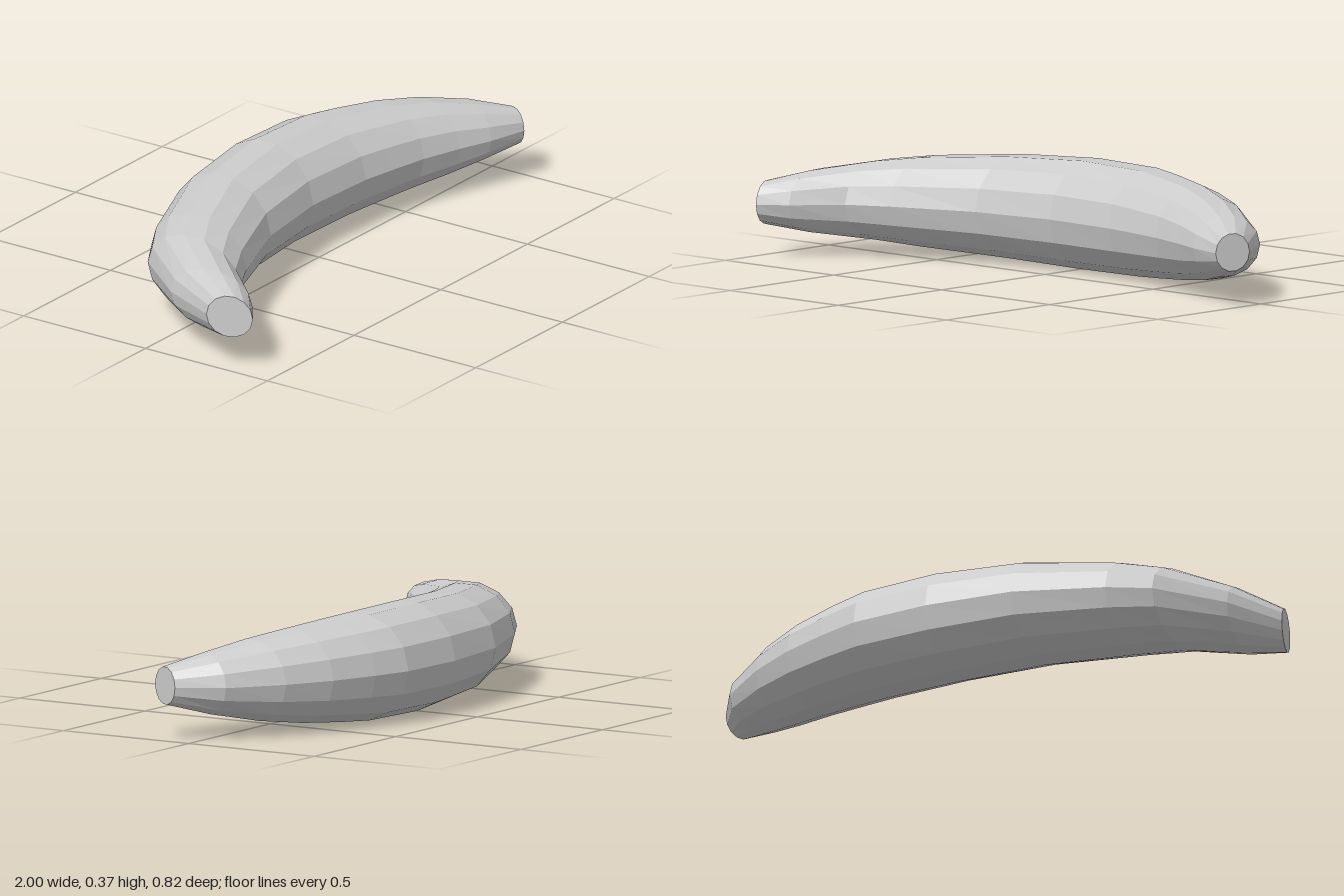
import * as THREE from 'three';

const SIDES = 14;
const MID_Y = 0.183;

// Cross-sections end to end: outer edge x, z, inner edge x, z, half height
const SECTIONS = [
  [-1.0, 0.25, -0.95, 0.405, 0.072],
  [-0.905, 0.035, -0.86, 0.34, 0.104],
  [-0.735, -0.18, -0.735, 0.2, 0.133],
  [-0.6, -0.26, -0.6, 0.13, 0.15],
  [-0.305, -0.375, -0.305, -0.02 + 0.04, 0.171],
  [0, -0.413, 0, -0.023, 0.183],
  [0.275, -0.405, 0.285, -0.01, 0.179],
  [0.415, -0.365, 0.4, 0.01, 0.17],
  [0.58, -0.305, 0.55, 0.04, 0.156],
  [0.74, -0.22, 0.69, 0.085, 0.135],
  [0.91, -0.09, 0.81, 0.13, 0.101],
  [1.0, 0.055, 0.95, 0.167, 0.063],
];

// Closed faceted skin through the rings, with a flat cap at each end
function loft(sections) {
  const positions = [];
  const index = [];
  const tall = Math.sin((3 * 2 * Math.PI) / SIDES);
  const at = (i, j) => i * SIDES + (j % SIDES);

  for (const [ox, oz, ix, iz, h] of sections) {
    const cx = (ox + ix) / 2, cz = (oz + iz) / 2;
    for (let j = 0; j < SIDES; j++) {
      const a = (j / SIDES) * Math.PI * 2;
      positions.push(
        cx + (ox - cx) * Math.cos(a),
        MID_Y + (h / tall) * Math.sin(a),
        cz + (oz - cz) * Math.cos(a)
      );
    }
  }

  const last = sections.length - 1;
  for (let i = 0; i < last; i++) {
    for (let j = 0; j < SIDES; j++) {
      index.push(at(i, j), at(i, j + 1), at(i + 1, j + 1));
      index.push(at(i, j), at(i + 1, j + 1), at(i + 1, j));
    }
  }
  for (let j = 1; j < SIDES - 1; j++) {
    index.push(at(0, 0), at(0, j + 1), at(0, j));
    index.push(at(last, 0), at(last, j), at(last, j + 1));
  }

  const indexed = new THREE.BufferGeometry();
  indexed.setAttribute('position', new THREE.Float32BufferAttribute(positions, 3));
  indexed.setIndex(index);
  const geometry = indexed.toNonIndexed();
  geometry.computeVertexNormals();
  return geometry;
}

export function createModel() {
  const group = new THREE.Group();
  group.name = 'banana';
  const material = new THREE.MeshStandardMaterial({ color: 0xcccccc, flatShading: true });
  const body = new THREE.Mesh(loft(SECTIONS), material);
  body.name = 'bananaBody';
  group.add(body);
  return group;
}
